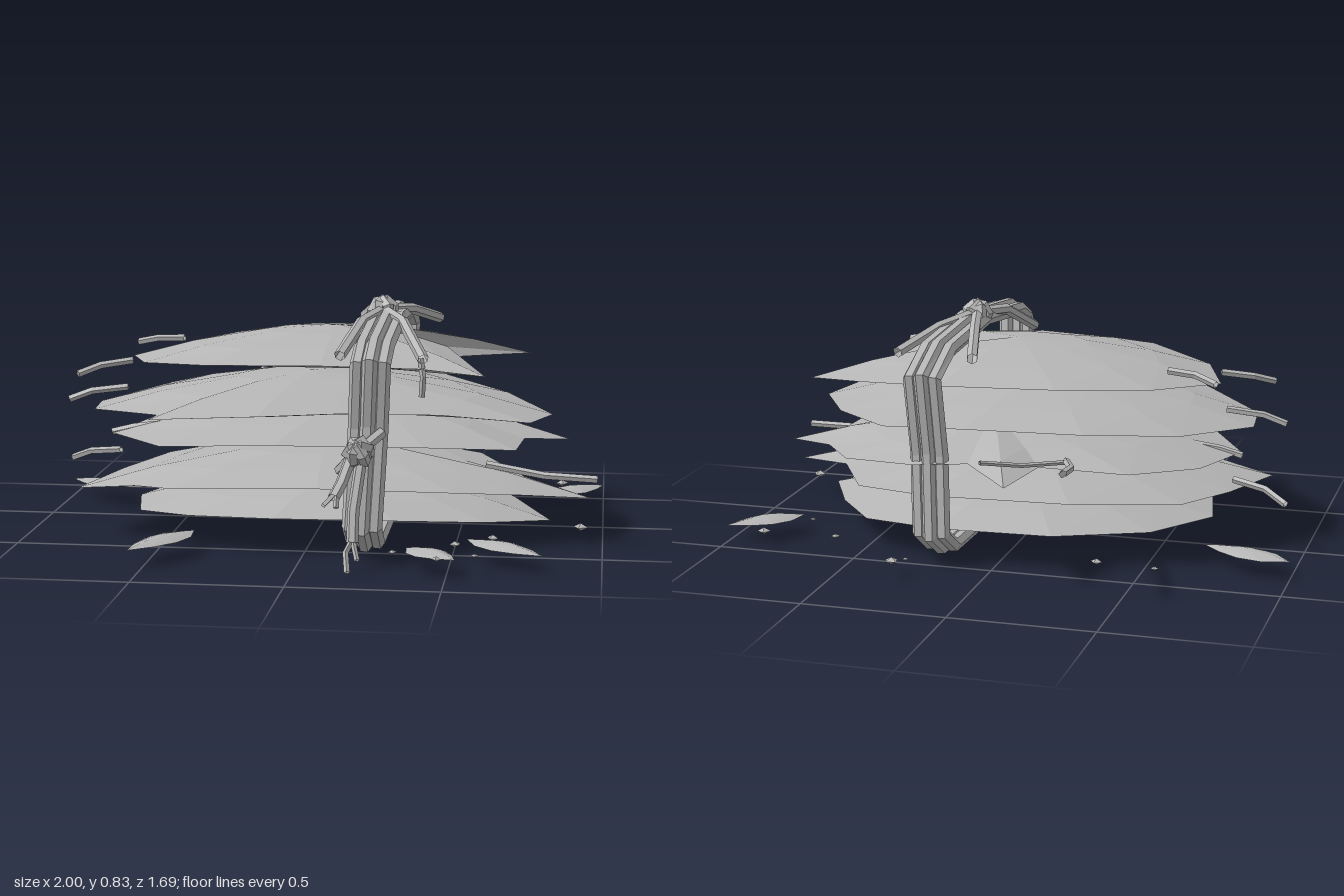
import * as THREE from 'three';

const grey = new THREE.MeshStandardMaterial({ color: 0xb6b6b6, side: THREE.DoubleSide, flatShading: true });
grey.name = 'dry leaf grey';

// Curve that runs straight between its points, with mitred tangents
class Polyline extends THREE.Curve {
  constructor(points, closed) {
    super();
    this.points = closed ? [...points, points[0]] : points;
    this.closed = closed;
  }
  getPointAt(u) {
    const n = this.points.length - 1, i = Math.min(Math.floor(u * n + 1e-6), n - 1);
    return this.points[i].clone().lerp(this.points[i + 1], u * n - i);
  }
  getTangentAt(u) {
    const p = this.points, n = p.length - 1, i = Math.round(u * n);
    const ends = this.closed && (i === 0 || i === n);
    const before = ends ? p[n - 1] : p[Math.max(i - 1, 0)];
    const after = ends ? p[1] : p[Math.min(i + 1, n)];
    const at = p[i], t = new THREE.Vector3();
    if (before !== at) t.add(at.clone().sub(before).normalize());
    if (after !== at) t.add(after.clone().sub(at).normalize());
    return t.normalize();
  }
}

// Closed lens over an [x, z] outline; the rim arches along x
function lens(outline, rimY, up, down) {
  const n = outline.length, rings = [0.35, 0.7, 1], pos = [], idx = [];
  const cx = outline.reduce((s, p) => s + p[0], 0) / n;
  const cz = outline.reduce((s, p) => s + p[1], 0) / n;
  for (const h of [up, -down]) {
    const base = pos.length / 3, top = h > 0;
    const tri = (a, b, c) => idx.push(base + a, base + (top ? c : b), base + (top ? b : c));
    pos.push(cx, rimY(cx) + h, cz);
    for (const t of rings) for (const [x, z] of outline) {
      const px = cx + (x - cx) * t;
      pos.push(px, rimY(px) + h * (1 - t ** 1.6), cz + (z - cz) * t);
    }
    for (let i = 0; i < n; i++) {
      const j = (i + 1) % n;
      tri(0, 1 + i, 1 + j);
      for (let r = 0; r < rings.length - 1; r++) {
        const a = 1 + r * n, b = a + n;
        tri(a + i, b + i, b + j);
        tri(a + i, b + j, a + j);
      }
    }
  }
  const g = new THREE.BufferGeometry();
  g.setAttribute('position', new THREE.Float32BufferAttribute(pos, 3));
  g.setIndex(idx);
  const flat = g.toNonIndexed();
  flat.computeVertexNormals();
  return flat;
}

export function createModel() {
  const model = new THREE.Group();
  model.name = 'leafBundle';
  const add = (name, geometry) => {
    const mesh = new THREE.Mesh(geometry, grey);
    mesh.name = name;
    model.add(mesh);
    return mesh;
  };
  const cord = (name, pts, radius, closed = false, sides = 6) => {
    const v = pts.map((p) => new THREE.Vector3(...p));
    const segments = closed ? v.length : v.length - 1;
    return add(name, new THREE.TubeGeometry(new Polyline(v, closed), segments, radius, sides, closed));
  };

  // Stacked jagged leaves, lowest first
  const stack = [
    [0.075, [[.82, .2], [.6, .4], [.3, .53], [-.1, .58], [-.4, .5], [-.6, .35], [-.66, .05], [-.5, -.25], [-.2, -.45], [.2, -.47], [.5, -.36], [.68, -.1]]],
    [0.18, [[.96, .2], [.72, .36], [.5, .48], [.05, .58], [-.45, .55], [-.6, .44], [-.82, .36], [-.72, .05], [-.6, -.2], [-.25, -.4], [.25, -.43], [.55, -.3], [.72, .03]]],
    [0.32, [[.88, -.09], [.72, .05], [.7, .3], [.4, .46], [-.1, .56], [-.5, .5], [-.75, .1], [-.66, -.2], [-.46, -.42], [-.16, -.47], [-.12, -.75], [.08, -.5], [.27, -.54], [.54, -.45], [.68, -.24]]],
    [0.435, [[.82, .12], [.75, .37], [.45, .45], [.14, .56], [-.14, .66], [-.51, .63], [-.5, .54], [-.78, .25], [-.8, .05], [-.6, -.25], [-.3, -.42], [.1, -.48], [.4, -.46], [.65, -.2]]],
    [0.58, [[.6, .43], [.38, .42], [.05, .48], [-.35, .44], [-.6, .25], [-.69, 0], [-.5, -.25], [-.2, -.42], [.2, -.47], [.5, -.4], [.73, -.28], [.43, -.17]]],
  ];
  stack.forEach(([y, outline]) => {
    add('stackedLeaf', lens(outline, (x) => y + 0.06 * (1 - (x / 0.8) ** 2), 0.08, 0.06));
  });

  // Loose leaves on the ground, given tip to tip
  const loose = [
    [-1, -.32, -.68, -.2], [.78, -.24, 1, -.45], [.55, .52, .81, .74],
    [.36, .67, .53, .83], [-.38, .5, -.545, .83],
  ];
  for (const [ax, az, bx, bz] of loose) {
    const dx = bx - ax, dz = bz - az, k = 0.065 / Math.hypot(dx, dz);
    const shape = [[0, 0], [.25, -.85], [.5, -1], [.75, -.65], [1, 0], [.75, .65], [.5, 1], [.25, .85]];
    const outline = shape.map(([t, w]) => [ax + dx * t - dz * k * w, az + dz * t + dx * k * w]);
    add('looseLeaf', lens(outline, () => 0.07, 0.018, 0.012));
  }

  // Crumbs scattered around the bundle
  const crumbs = [
    [-.575, -.51, .015], [-.37, -.49, .022], [.3, -.67, .026], [.26, -.64, .012], [.58, -.46, .017],
    [.845, -.47, .025], [.73, -.29, .012], [.925, .285, .027], [.635, .49, .022], [.515, .6, .022],
    [.32, .74, .016], [.59, .76, .014], [.47, .82, .018],
  ];
  crumbs.forEach(([x, z, r], i) => {
    const crumb = add('crumb', new THREE.OctahedronGeometry(r));
    crumb.position.set(x, 0.07, z);
    crumb.scale.y = 0.5;
    crumb.rotation.y = i * 1.3;
  });

  // Three rope strands looped around the stack, [z, y]; the middle one stands proud
  const loop = [
    [.62, .67], [.52, .715], [.1, .76], [-.34, .735], [-.52, .67], [-.49, .4],
    [-.52, .13], [-.41, .06], [.47, .04], [.61, .12], [.58, .45],
  ];
  [-1, 0, 1].forEach((s) => {
    const out = s === 0 ? 1.025 : 1, lift = s === 0 ? 0.01 : 0;
    const path = loop.map(([z, y]) => [0.2 + 0.05 * y + s * 0.042, y + lift * Math.sign(y - 0.3), z * out]);
    cord('ropeStrand', path, 0.026, true);
  });

  // Knots: small crossed rings around a core
  const knot = (x, y, z, tilt, size) => {
    const group = new THREE.Group();
    group.name = 'knot';
    [-0.9, 0.2, 1.1].forEach((turn) => {
      const ring = new THREE.Mesh(new THREE.TorusGeometry(0.034, 0.019, 5, 7), grey);
      ring.name = 'knotTurn';
      ring.rotation.set(turn * 0.4, turn, 0);
      group.add(ring);
    });
    group.position.set(x, y, z);
    group.rotation.set(tilt, 0, 0.4);
    group.scale.setScalar(size);
    model.add(group);
  };
  knot(.22, .78, .07, 0, 1.1);
  knot(.2, .385, .665, 0.8, 1.1);
  cord('knotWrap', [[.13, .31, .6], [.16, .345, .64], [.23, .41, .65], [.27, .44, .6]], 0.02);

  // Bow ends spreading from the top knot
  for (const [x, y, z] of [[.11, .71, -.35], [.39, .71, -.32], [.11, .67, .44], [.39, .66, .42]]) {
    cord('bowEnd', [[.22, .785, .07], [(x + .22) / 2, .765, (z + .07) / 2], [x, y, z]], 0.02);
  }
  cord('hangingEnd', [[.38, .66, .4], [.39, .6, .41], [.385, .53, .4]], 0.011, false, 5);

  // Frayed tails below the front knot
  cord('ropeTail', [[.18, .38, .66], [.15, .29, .72], [.13, .25, .765]], 0.02);
  cord('ropeTail', [[.21, .37, .66], [.19, .2, .72], [.19, .1, .75]], 0.02);
  cord('tailFray', [[.13, .26, .755], [.1, .23, .795]], 0.009, false, 4);
  cord('tailFray', [[.14, .26, .755], [.14, .22, .78]], 0.009, false, 4);
  cord('tailFray', [[.19, .11, .745], [.17, .07, .77], [.18, .015, .815]], 0.01, false, 4);
  cord('tailFray', [[.19, .11, .745], [.21, .05, .79]], 0.009, false, 4);

  // Leaf stems: outer tip, bend, inner end
  const stems = [
    [[-.7, .625, -.145], [-.62, .645, -.105], [-.52, .65, -.085]],
    [[-.84, .56, .24], [-.77, .585, .19], [-.66, .6, .155]],
    [[-.91, .445, .085], [-.83, .475, .075], [-.7, .49, .06]],
    [[-.76, .325, .06], [-.68, .345, .06], [-.56, .36, .06]],
    [[-.94, .2, -.08], [-.86, .235, -.03], [-.74, .25, .01]],
    [[.98, .25, .35], [.8, .255, .33], [.6, .28, .28]],
    [[-.345, .47, -.845], [-.32, .435, -.65], [-.26, .41, -.48]],
  ];
  stems.forEach((p) => cord('stem', p, 0.013, false, 5));
  cord('thinStem', [[-.03, .45, -.72], [-.14, .42, -.61], [-.27, .41, -.49]], 0.008, false, 5);
  return model;
}
